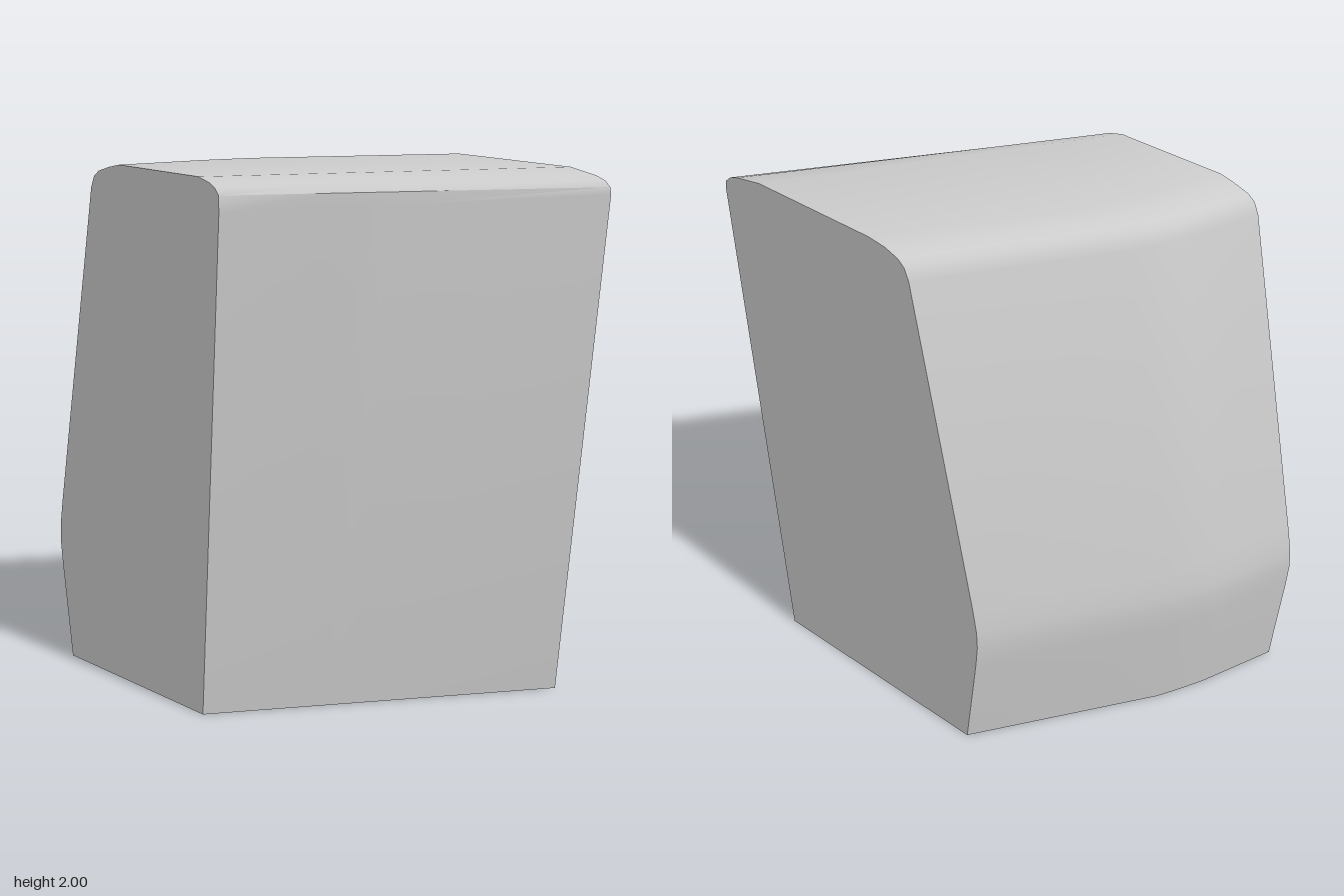
import * as THREE from 'three';
import { toCreasedNormals } from 'three/addons/utils/BufferGeometryUtils.js';

// Cross-section outlines as [z, y] at the two flat ends: left end (+x) and right end (-x).
// Each runs up the front, over the top and down the back.
const FRONT_LEFT = [[0.70, 0], [0.89, 1.92], [0.885, 1.945], [0.86, 1.967], [0.82, 1.98], [0.70, 2]];
const FRONT_RIGHT = [[0, 0], [0.13, 1.88], [0.13, 1.945], [0.11, 1.97], [0.08, 1.985], [0.02, 2]];
const BACK_LEFT = [[0.14, 2], [0.06, 1.99], [0, 1.97], [-0.03, 1.945], [-0.05, 1.9],
  [-0.325, 0.64], [-0.343, 0.54], [-0.346, 0.47], [-0.337, 0.38], [-0.285, 0]];
const BACK_RIGHT = [[-0.44, 2], [-0.5, 1.987], [-0.565, 1.967], [-0.595, 1.945], [-0.615, 1.9],
  [-0.867, 0.64], [-0.885, 0.54], [-0.888, 0.47], [-0.879, 0.38], [-0.83, 0]];

// Stations along x: [x, blend towards the right end's back outline]; the back bends near x = -0.18
const STATIONS = [[-0.585, 1], [-0.27, 0.845], [-0.18, 0.785], [-0.08, 0.71], [0.585, 0]];

const blend = (a, b, t) => a.map(([z, y], i) => [z + (b[i][0] - z) * t, y + (b[i][1] - y) * t]);

function bodyGeometry() {
  const positions = [];
  const index = [];
  const n = FRONT_LEFT.length + BACK_LEFT.length;

  // Rings of the loft
  for (const [x, backBlend] of STATIONS) {
    const ring = [
      ...blend(FRONT_LEFT, FRONT_RIGHT, (0.585 - x) / 1.17),
      ...blend(BACK_LEFT, BACK_RIGHT, backBlend),
    ];
    for (const [z, y] of ring) positions.push(x, y, z);
  }

  // Skin between neighbouring rings, including the underside
  for (let i = 0; i < STATIONS.length - 1; i++) {
    for (let j = 0; j < n; j++) {
      const k = (j + 1) % n;
      const a = i * n + j, b = i * n + k, c = b + n, d = a + n;
      index.push(a, d, c, a, c, b);
    }
  }

  // Flat end caps
  const last = (STATIONS.length - 1) * n;
  const centre = positions.length / 3;
  positions.push(-0.585, 1, -0.35, 0.585, 1, 0.3);
  for (let j = 0; j < n; j++) {
    const k = (j + 1) % n;
    index.push(centre, j, k, centre + 1, last + k, last + j);
  }

  const geometry = new THREE.BufferGeometry();
  geometry.setAttribute('position', new THREE.Float32BufferAttribute(positions, 3));
  geometry.setIndex(index);
  return toCreasedNormals(geometry, 0.6);
}

export function createModel() {
  const group = new THREE.Group();
  const body = new THREE.Mesh(bodyGeometry(), new THREE.MeshStandardMaterial({ color: 0xcccccc }));
  body.name = 'roundedBlock';
  group.add(body);
  return group;
}
